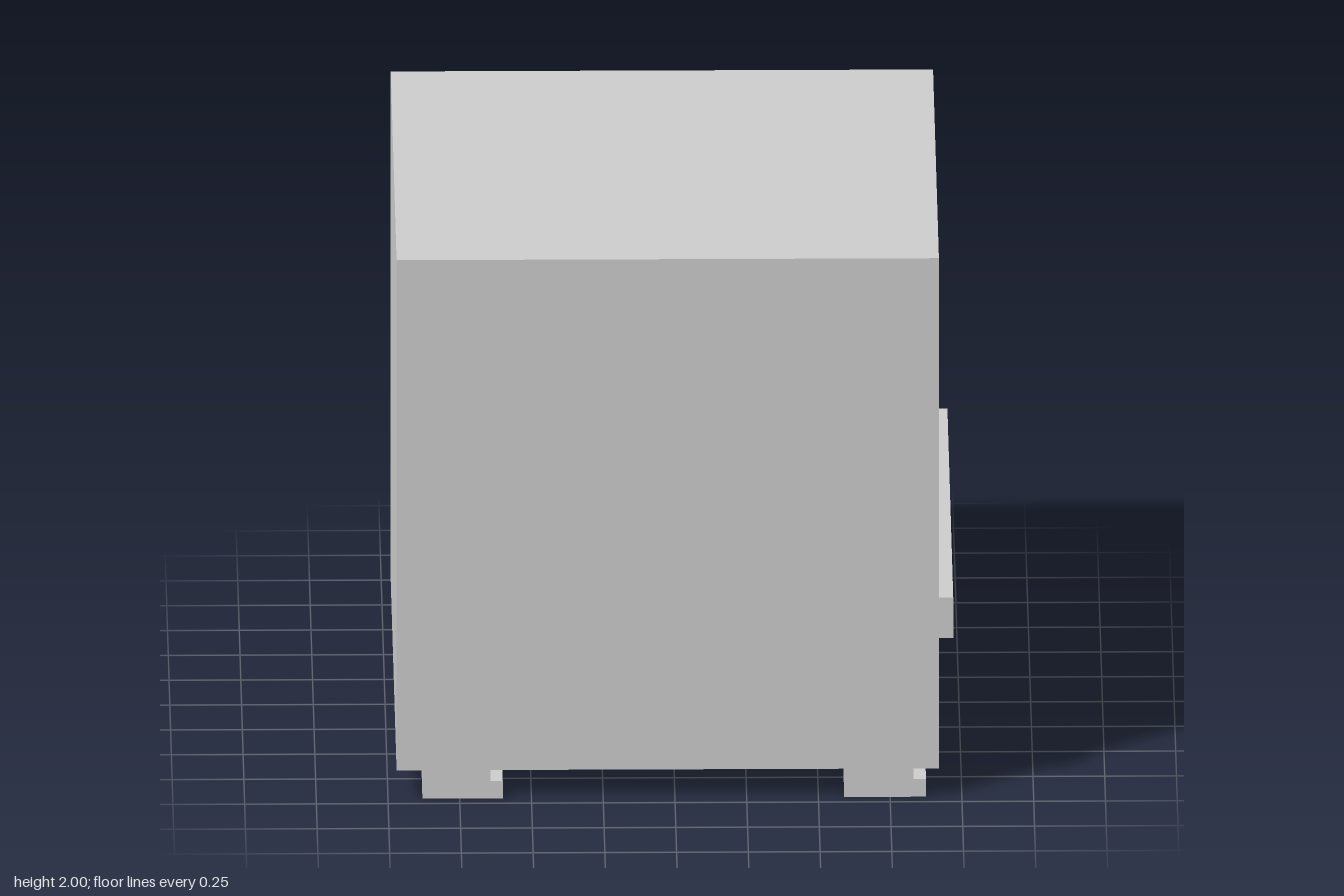
import * as THREE from 'three';

const grey = new THREE.MeshStandardMaterial({ color: 0xcccccc, flatShading: true });
const smooth = new THREE.MeshStandardMaterial({ color: 0xcccccc });
const glassMat = new THREE.MeshStandardMaterial({ color: 0x8eacb2 });

const FACE = 0.92;    // outer plane of the loading side
const BACK = 0.75;    // recess back plane
const DOOR_Y = 1.235;

function add(parent, name, geometry, material = grey) {
  const mesh = new THREE.Mesh(geometry, material);
  mesh.name = name;
  parent.add(mesh);
  return mesh;
}

// Box given by its limits on each axis
function box(parent, name, x0, x1, y0, y1, z0, z1) {
  const m = add(parent, name, new THREE.BoxGeometry(x1 - x0, y1 - y0, z1 - z0));
  m.position.set((x0 + x1) / 2, (y0 + y1) / 2, (z0 + z1) / 2);
  return m;
}

function rectPoints(x0, x1, y0, y1) {
  return [[x0, y0], [x1, y0], [x1, y1], [x0, y1]].map(p => new THREE.Vector2(...p));
}

// Rectangular plate with a rectangular hole, extruded towards +z
function framePlate(outer, hole, depth) {
  const shape = new THREE.Shape(rectPoints(...outer));
  shape.holes.push(new THREE.Path(rectPoints(...hole)));
  return new THREE.ExtrudeGeometry(shape, { depth, bevelEnabled: false });
}

// Sloped walls joining successive rectangles [halfWidth, y0, y1, z]
function slopedWalls(rects) {
  const pos = [];
  const corners = ([w, y0, y1, z]) => [[-w, y0, z], [w, y0, z], [w, y1, z], [-w, y1, z]];
  for (let r = 0; r < rects.length - 1; r++) {
    const a = corners(rects[r]), b = corners(rects[r + 1]);
    for (let i = 0; i < 4; i++) {
      const j = (i + 1) % 4;
      pos.push(...a[i], ...a[j], ...b[j], ...a[i], ...b[j], ...b[i]);
    }
  }
  const g = new THREE.BufferGeometry();
  g.setAttribute('position', new THREE.Float32BufferAttribute(pos, 3));
  g.computeVertexNormals();
  return g;
}

// Lathe turned so that its axis points along +z
function ring(points, sides) {
  return new THREE.LatheGeometry(points.map(p => new THREE.Vector2(...p)), sides).rotateX(Math.PI / 2);
}

function buildDoor() {
  const door = new THREE.Group();
  door.name = 'door';
  door.position.set(0, DOOR_Y, 0);

  // Stepped round rim
  add(door, 'doorRim', ring([
    [0.44, BACK], [0.44, 0.8], [0.425, 0.815], [0.365, 0.815], [0.355, 0.83],
    [0.285, 0.83], [0.275, 0.82], [0.275, BACK]], 16));

  const glass = add(door, 'doorGlass', new THREE.CylinderGeometry(0.277, 0.277, 0.04, 16), glassMat);
  glass.rotation.x = Math.PI / 2;
  glass.position.z = 0.785;

  // Bolts around the window
  for (let i = 0; i < 16; i++) {
    const a = i * Math.PI / 8;
    const bolt = add(door, 'rimBolt', new THREE.SphereGeometry(0.014, 10, 6), smooth);
    bolt.position.set(0.3125 * Math.sin(a), 0.3125 * Math.cos(a), 0.832);
  }
  return door;
}

function buildLatch() {
  const latch = new THREE.Group();
  latch.name = 'latch';
  // Crossbars carrying the door
  for (const y of [1.05, 1.35]) box(latch, 'crossbar', -0.45, 0.47, y, y + 0.05, 0.835, 0.875);
  box(latch, 'latchPlate', -0.5, -0.445, 1.03, 1.42, 0.83, 0.88);
  box(latch, 'catchBlock', -0.565, -0.51, 1.145, 1.31, BACK, 0.84);
  box(latch, 'leverMount', -0.5, -0.445, 1.2, 1.26, 0.87, 0.895);

  // Lever with thicker grip
  const lever = add(latch, 'lever', new THREE.CylinderGeometry(0.011, 0.011, 0.19, 12), smooth);
  lever.rotation.z = Math.PI / 2;
  lever.position.set(-0.445, 1.222, 0.895);
  const grip = add(latch, 'leverGrip', new THREE.CylinderGeometry(0.017, 0.014, 0.1, 12), smooth);
  grip.rotation.z = Math.PI / 2;
  grip.position.set(-0.305, 1.222, 0.895);

  // Hinge channel with raised border
  box(latch, 'hingeBase', 0.455, 0.54, 0.955, 1.495, BACK, 0.855);
  const border = add(latch, 'hingeBorder',
    framePlate([0.455, 0.54, 0.955, 1.495], [0.47, 0.525, 0.975, 1.475], 0.03));
  border.position.z = 0.85;
  return latch;
}

export function createModel() {
  const model = new THREE.Group();
  model.name = 'washingMachine';

  // Cabinet behind the recess, and the band across the loading side
  box(model, 'cabinet', -0.97, BACK, 0.105, 2, -0.95, 0.95);
  box(model, 'bumperBand', FACE - 0.02, 0.97, 0.59, 0.74, -0.95, 0.95);

  // Loading side, built facing +z and turned to face +x
  const side = new THREE.Group();
  side.name = 'loadingSide';
  side.rotation.y = Math.PI / 2;
  const panel = add(side, 'facePanel',
    framePlate([-0.95, 0.95, 0.105, 2], [-0.62, 0.62, 0.74, 1.755], FACE - BACK));
  panel.position.z = BACK;
  add(side, 'recessWalls', slopedWalls([
    [0.62, 0.74, 1.755, FACE], [0.595, 0.775, 1.72, 0.805], [0.565, 0.81, 1.685, BACK]]));
  side.add(buildDoor(), buildLatch());
  model.add(side);

  // Feet, each a wide sole under a narrower block
  for (const z of [-0.95, 0.625]) {
    for (const [x0, x1] of [[-0.88, -0.6], [0.59, 0.875]]) {
      const foot = new THREE.Group();
      foot.name = 'foot';
      box(foot, 'footSole', x0, x1, 0, 0.065, z, z + 0.325);
      box(foot, 'footBlock', x0, x1 - 0.043, 0.065, 0.105, z, z + 0.325);
      model.add(foot);
    }
  }
  return model;
}
